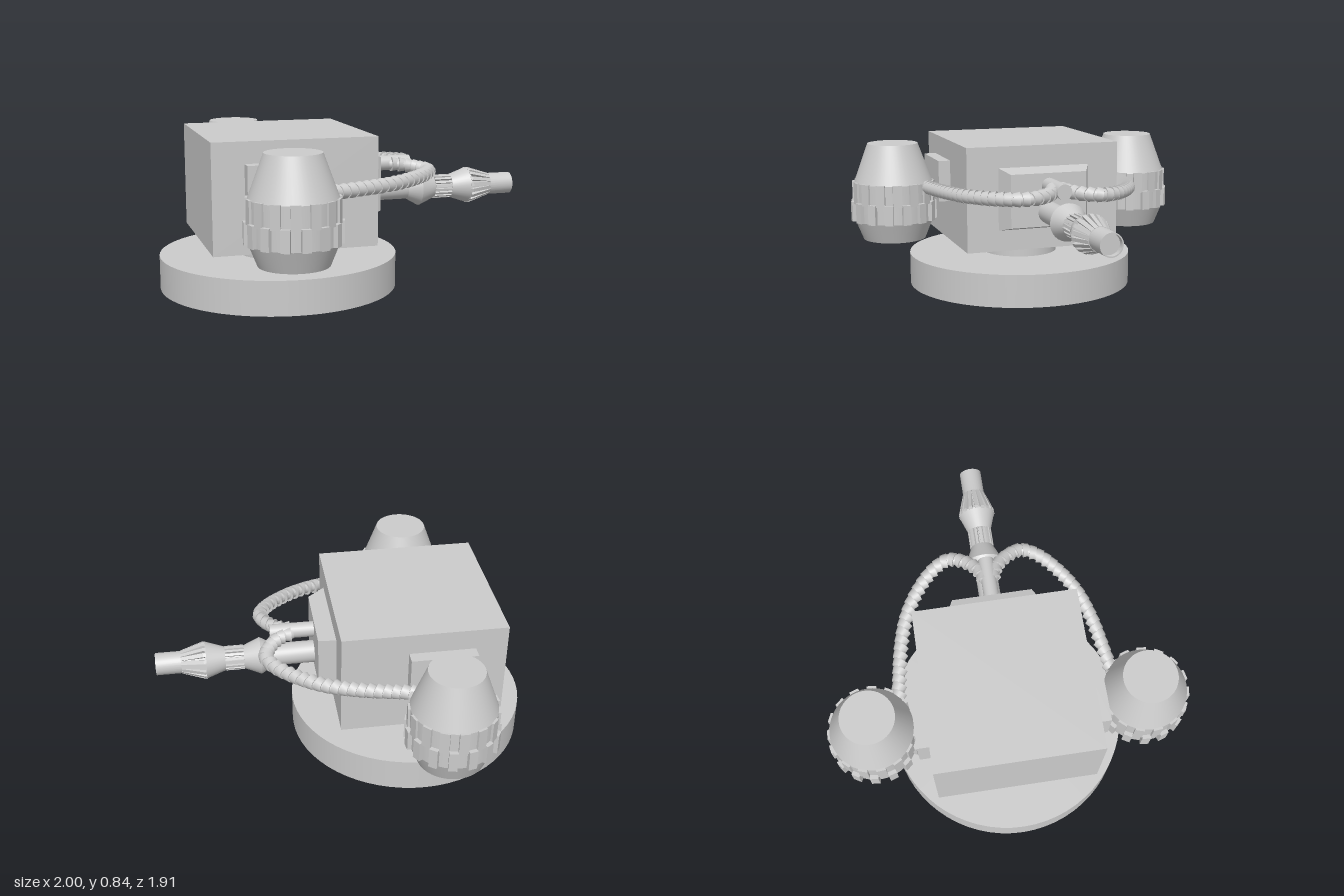
import * as THREE from 'three';
import { toCreasedNormals } from 'three/addons/utils/BufferGeometryUtils.js';

const grey = new THREE.MeshStandardMaterial({ color: 0xcccccc });

function part(name, geometry, x = 0, y = 0, z = 0) {
  const mesh = new THREE.Mesh(geometry, grey);
  mesh.name = name;
  mesh.position.set(x, y, z);
  return mesh;
}

// Turned solid from [radius, height] points, with crisp edges between sections
function turned(points, sides = 48) {
  const profile = points.map(([r, h]) => new THREE.Vector2(r, h));
  return toCreasedNormals(new THREE.LatheGeometry(profile, sides), 0.25);
}

// Ring of equal fins, each a flat [radius, height] outline with a thickness
function finRing(name, outline, thickness, count, phase) {
  const ring = new THREE.Group();
  ring.name = name;
  const shape = new THREE.Shape(outline.map(([r, h]) => new THREE.Vector2(r, h)));
  const geometry = new THREE.ExtrudeGeometry(shape, { depth: thickness, bevelEnabled: false });
  geometry.translate(0, 0, -thickness / 2);
  for (let i = 0; i < count; i++) {
    const fin = part('fin', geometry);
    fin.rotation.y = phase + (i * 2 * Math.PI) / count;
    ring.add(fin);
  }
  return ring;
}

function createPod(side) {
  const pod = new THREE.Group();
  pod.name = side > 0 ? 'leftPod' : 'rightPod';
  pod.position.set(-0.457, 0, side * 0.717);
  pod.add(part('podBody', turned([
    [0, 0.28], [0.175, 0.28], [0.219, 0.39], [0.219, 0.605], [0.14, 0.82], [0, 0.82],
  ])));
  // Two staggered rows of teeth
  const tooth = (r, low, high) => [[0.19, low], [r, low], [r, high], [0.19, high]];
  pod.add(finRing('upperTeeth', tooth(0.229, 0.49, 0.61), 0.05, 15, -Math.PI / 2 + Math.PI / 15));
  pod.add(finRing('lowerTeeth', tooth(0.24, 0.39, 0.5), 0.045, 15, -Math.PI / 2));
  return pod;
}

function createBarrel() {
  const barrel = new THREE.Group();
  barrel.name = 'barrel';
  barrel.position.y = 0.487;
  barrel.rotation.z = -Math.PI / 2;
  // Profile heights run outward along the barrel, ending in a shallow bore
  barrel.add(part('barrelBody', turned([
    [0, 0.14], [0.06, 0.14], [0.06, 0.37], [0.1, 0.44], [0.062, 0.53], [0.054, 0.53],
    [0.054, 0.63], [0.064, 0.63], [0.1, 0.735], [0.084, 0.735], [0.06, 0.86],
    [0.06, 1], [0.053, 1], [0.053, 0.97], [0, 0.97],
  ], 32)));
  barrel.add(finRing('gripRibs', [[0.045, 0.53], [0.066, 0.53], [0.066, 0.63], [0.045, 0.63]], 0.013, 18, 0));
  barrel.add(finRing('muzzleFins', [[0.05, 0.73], [0.1, 0.73], [0.1, 0.745], [0.062, 0.865], [0.05, 0.865]], 0.019, 18, 0));
  return barrel;
}

function createHose(side) {
  const hose = new THREE.Group();
  hose.name = side > 0 ? 'leftHose' : 'rightHose';
  const path = new THREE.CatmullRomCurve3([
    [-0.36, 0.583, 0.57], [-0.2, 0.587, 0.547], [-0.02, 0.594, 0.515], [0.14, 0.6, 0.465],
    [0.27, 0.606, 0.39], [0.38, 0.612, 0.29], [0.425, 0.616, 0.2], [0.395, 0.62, 0.11],
    [0.34, 0.626, 0.05], [0.27, 0.63, 0.02],
  ].map(([x, y, z]) => new THREE.Vector3(x, y, side * z)));
  hose.add(part('hoseCore', new THREE.TubeGeometry(path, 64, 0.031, 12)));
  // Slanted, slightly flared collars along the hose
  const collar = toCreasedNormals(new THREE.CylinderGeometry(0.04, 0.033, 0.036, 16), 0.6);
  const up = new THREE.Vector3(0, 1, 0);
  const count = 27;
  for (let i = 0; i < count; i++) {
    const t = (i + 0.5) / count;
    const ring = part('hoseCollar', collar);
    ring.position.copy(path.getPointAt(t));
    const direction = path.getTangentAt(t).applyAxisAngle(up, side * 0.35);
    ring.quaternion.setFromUnitVectors(up, direction);
    hose.add(ring);
  }
  return hose;
}

// Plate whose outer (+x) face is smaller than its inner face
function createFacePlate() {
  const geometry = new THREE.BoxGeometry(0.1, 0.344, 0.52);
  const p = geometry.attributes.position;
  for (let i = 0; i < p.count; i++) {
    if (p.getX(i) > 0) p.setXYZ(i, p.getX(i), p.getY(i) * 0.84, p.getZ(i) * 0.82);
  }
  geometry.computeVertexNormals();
  return part('facePlate', geometry, 0.1, 0.556, 0);
}

export function createModel() {
  const model = new THREE.Group();
  model.name = 'turret';

  // Round base, neck and housing
  model.add(part('base', new THREE.CylinderGeometry(0.637, 0.637, 0.18, 64), -0.363, 0.09, 0));
  model.add(part('neck', new THREE.CylinderGeometry(0.213, 0.213, 0.12, 48), -0.363, 0.225, 0));
  model.add(part('housing', new THREE.BoxGeometry(0.855, 0.567, 0.86), -0.367, 0.557, 0));

  // Gun assembly
  model.add(createFacePlate(), createBarrel());
  const feed = part('feedTube', new THREE.CylinderGeometry(0.041, 0.041, 0.245, 24), 0.2625, 0.634, 0);
  feed.rotation.z = -Math.PI / 2;
  model.add(feed);

  // Side pods with brackets and hoses
  for (const side of [1, -1]) {
    model.add(part('podBracket', new THREE.BoxGeometry(0.345, 0.228, 0.09), -0.457, 0.615, side * 0.451));
    model.add(createPod(side), createHose(side));
  }
  return model;
}
